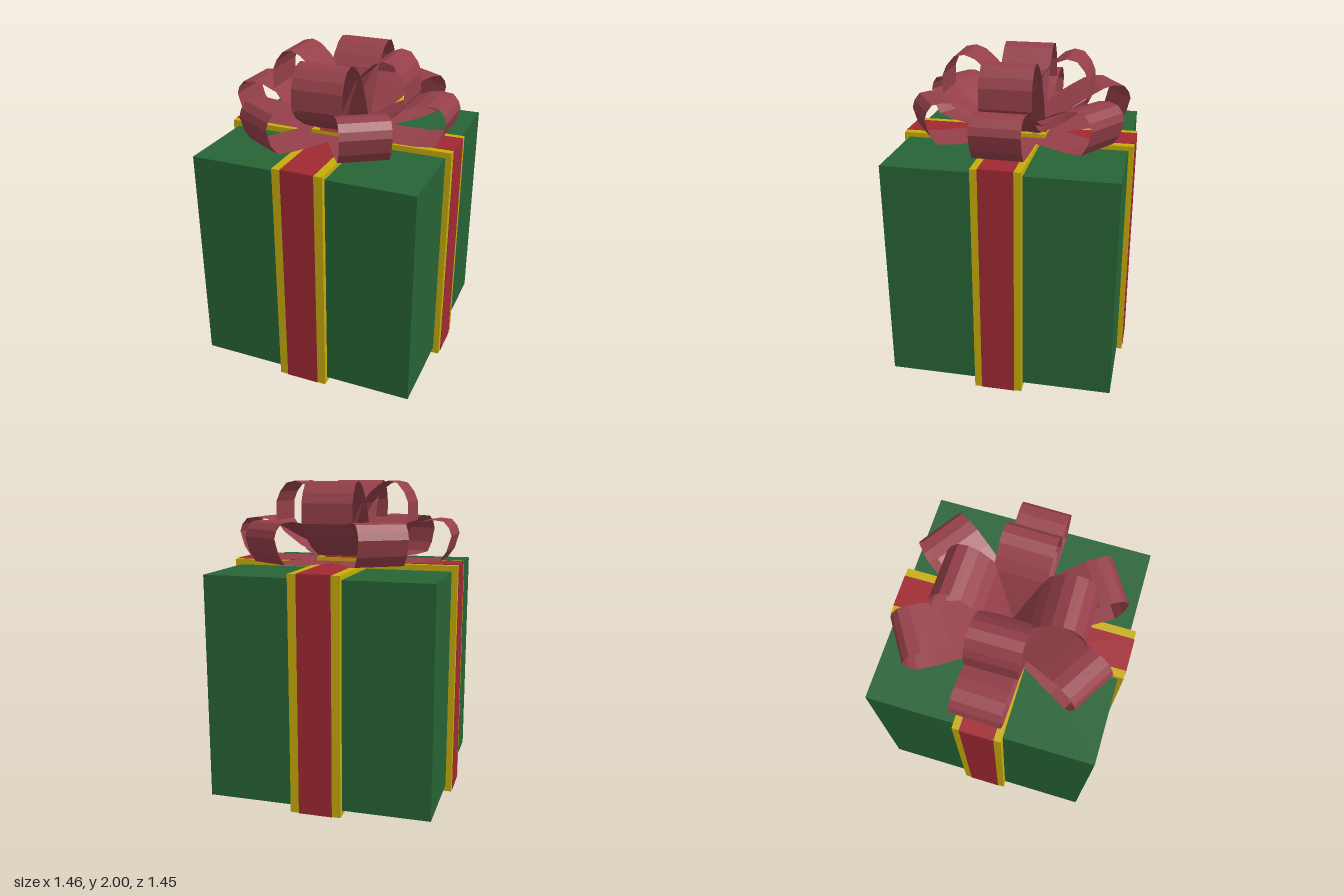
import * as THREE from 'three';

const mat = (color, extra = {}) => new THREE.MeshStandardMaterial({ color, ...extra });
const green = mat(0x276435);
const gold = mat(0xc8ad0c);
const red = mat(0xa02932);
const bowRed = mat(0x96404a, { flatShading: true, side: THREE.DoubleSide });

const HALF = 0.69, BOTTOM = 0.08, TOP = 1.46;

function box(name, material, [x0, x1], [y0, y1], [z0, z1]) {
  const mesh = new THREE.Mesh(new THREE.BoxGeometry(x1 - x0, y1 - y0, z1 - z0), material);
  mesh.position.set((x0 + x1) / 2, (y0 + y1) / 2, (z0 + z1) / 2);
  mesh.name = name;
  return mesh;
}

// Gold band around the box in the xy plane, with red panels on each outer face.
// step: optional raised section where this band crosses the other one.
function band(name, out, y0, y1, halfWidth, step) {
  const g = new THREE.Group();
  g.name = name;
  const pts = [[-out, y0], [out, y0], [out, y1], [-out, y1]];
  if (step) {
    pts.splice(3, 0, [step.w, y1], [step.w, step.y1], [-step.w, step.y1], [-step.w, y1]);
    pts.splice(1, 0, [-step.w, y0], [-step.w, step.y0], [step.w, step.y0], [step.w, y0]);
  }
  const shape = new THREE.Shape(pts.map(p => new THREE.Vector2(...p)));
  shape.holes.push(new THREE.Path([[-HALF, BOTTOM], [-HALF, TOP], [HALF, TOP], [HALF, BOTTOM]]
    .map(p => new THREE.Vector2(...p))));
  const geo = new THREE.ExtrudeGeometry(shape, { depth: halfWidth * 2, bevelEnabled: false });
  geo.translate(0, 0, -halfWidth);
  const trim = new THREE.Mesh(geo, gold);
  trim.name = 'goldTrim';
  g.add(trim);

  const e = 0.003, w = [-0.103, 0.103];
  for (const s of [-1, 1]) {
    const xs = [s * out - e, s * out + e];
    g.add(box('redSidePanel', red, xs, [y0, y1], w));
  }
  for (const [y, stepY] of [[y0, step?.y0], [y1, step?.y1]]) {
    const ys = [y - e, y + e];
    if (!step) {
      g.add(box('redPanel', red, [-out, out], ys, w));
      continue;
    }
    g.add(box('redPanel', red, [-out, -step.w], ys, w));
    g.add(box('redPanel', red, [step.w, out], ys, w));
    const inward = stepY > y ? -1 : 1;
    const sy = [stepY, stepY + inward * e].sort((a, b) => a - b);
    const lift = -inward * 0.002;
    g.add(box('redStepPanel', red, [-step.w, step.w], [sy[0] + lift, sy[1] + lift], w));
  }
  return g;
}

// Thin ribbon loop: a profile of [radius, height] swept across the ribbon width.
function bowLoop(name, profile, angle, halfWidth, length = 1) {
  const pos = [], index = [];
  profile.forEach(([r, y], i) => {
    pos.push(r * length, y, -halfWidth, r * length, y, halfWidth);
    if (i) {
      const a = 2 * i - 2;
      index.push(a, a + 1, a + 2, a + 1, a + 3, a + 2);
    }
  });
  const geo = new THREE.BufferGeometry();
  geo.setAttribute('position', new THREE.Float32BufferAttribute(pos, 3));
  geo.setIndex(index);
  geo.computeVertexNormals();
  const mesh = new THREE.Mesh(geo, bowRed);
  mesh.rotation.y = THREE.MathUtils.degToRad(angle);
  mesh.name = name;
  return mesh;
}

const LOWER = [[0, 1.53], [0.2, 1.615], [0.4, 1.715], [0.5, 1.757], [0.57, 1.768], [0.64, 1.76],
  [0.675, 1.72], [0.69, 1.675], [0.662, 1.58], [0.62, 1.52], [0.5, 1.507], [0, 1.505]];
const UPPER = [[0, 1.54], [0.06, 1.7], [0.13, 1.86], [0.18, 1.92], [0.24, 1.975], [0.3, 1.998],
  [0.36, 1.985], [0.405, 1.93], [0.43, 1.87], [0.433, 1.75], [0.38, 1.68], [0.27, 1.6],
  [0.15, 1.54], [0, 1.51]];

export function createModel() {
  const model = new THREE.Group();
  model.name = 'giftBox';
  model.add(box('box', green, [-HALF, HALF], [BOTTOM, TOP], [-HALF, HALF]));

  // Two crossing ribbons; the second steps over the first
  model.add(band('sideRibbon', 0.727, 0.04, 1.495, 0.147));
  const front = band('frontRibbon', 0.722, 0.047, 1.488, 0.156, { w: 0.178, y0: 0.003, y1: 1.53 });
  front.rotation.y = Math.PI / 2;
  model.add(front);

  // Bow: six low loops and four raised loops
  const bow = new THREE.Group();
  bow.name = 'bow';
  for (const [angle, length] of [[-1, 1], [57, 1], [122.5, 1], [178.5, 1], [239, 0.97], [302, 0.95]])
    bow.add(bowLoop('lowerLoop', LOWER, angle, 0.149, length));
  for (const [angle, length] of [[-1, 1], [89, 1.02], [180, 0.97], [271, 1.06]])
    bow.add(bowLoop('upperLoop', UPPER, angle, 0.157, length));
  model.add(bow);
  return model;
}
